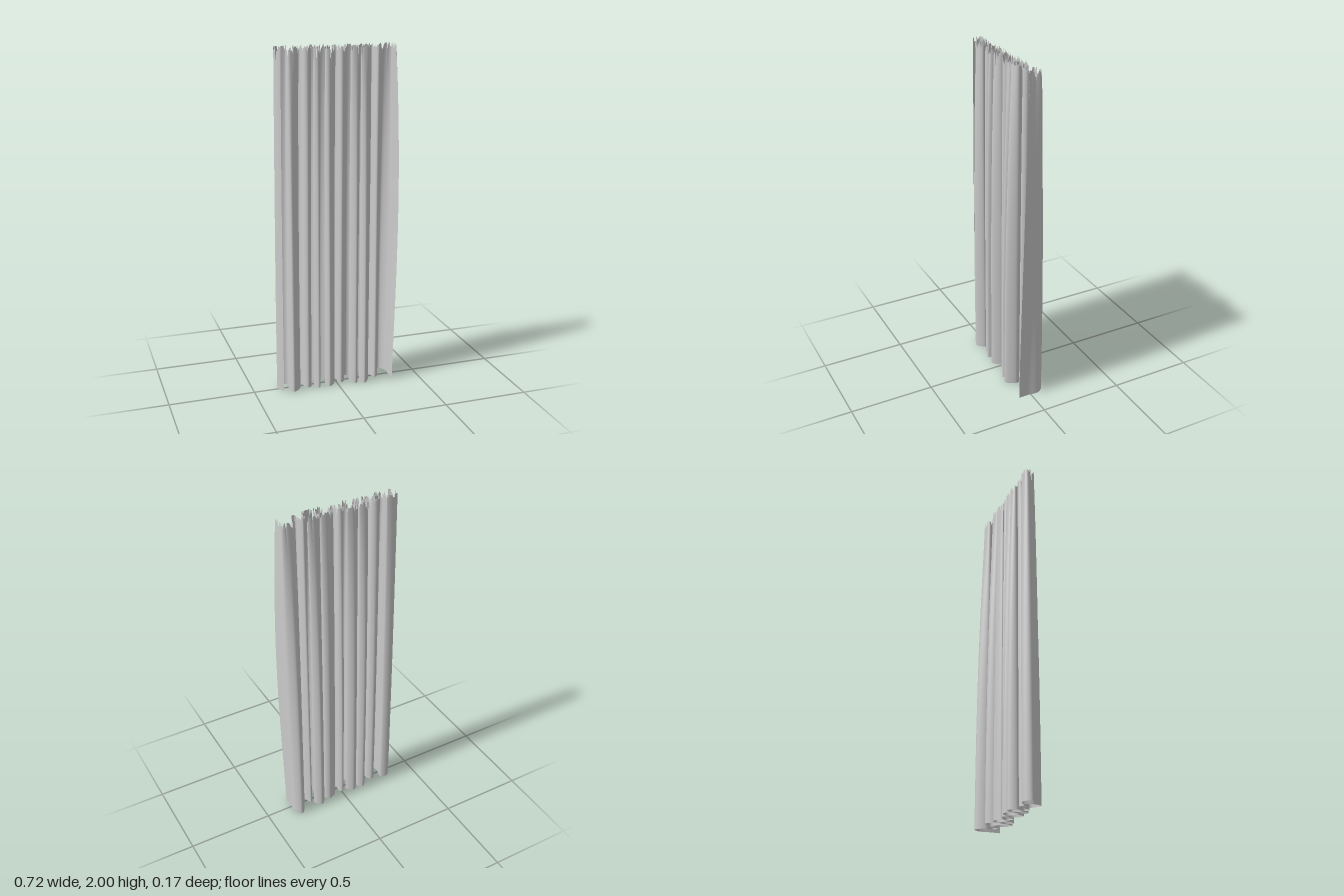
import * as THREE from 'three';

// Hem line of the cloth seen from above: x, z pairs from right to left fold
const HEM = [
  -0.33, 0.04, -0.345, 0.015, -0.357, -0.02, -0.325, -0.055, -0.285, -0.04, -0.295, 0.02,
  -0.275, 0.067, -0.225, 0.02, -0.248, -0.018, -0.225, -0.036, -0.203, -0.015, -0.197, 0.022,
  -0.178, 0.04, -0.155, 0.02, -0.172, -0.025, -0.143, -0.066, -0.112, -0.035, -0.14, 0.025,
  -0.118, 0.06, -0.102, 0.02, -0.108, -0.03, -0.077, -0.065, -0.037, -0.03, -0.072, 0.025,
  -0.053, 0.064, -0.01, 0.012, -0.023, -0.022, -0.005, -0.042, 0.012, -0.02, 0.01, 0.015,
  0.027, 0.035, 0.055, 0.005, 0.04, -0.025, 0.09, -0.055, 0.118, -0.03, 0.077, 0.025,
  0.107, 0.071, 0.13, 0.03, 0.122, -0.03, 0.16, -0.076, 0.196, -0.035, 0.137, 0.04,
  0.16, 0.083, 0.198, 0.03, 0.198, -0.01, 0.213, -0.027, 0.229, 0, 0.235, 0.02,
  0.245, 0.029, 0.265, 0.01, 0.265, -0.035, 0.305, -0.085, 0.337, -0.05, 0.335, 0.015,
  0.335, 0.077,
];
const COLUMNS = 640, ROWS = 40, HEIGHT = 2;

function seededRandom(seed) {
  return () => {
    seed = (seed * 16807) % 2147483647;
    return seed / 2147483647;
  };
}

function curtainGeometry() {
  const points = [];
  for (let i = 0; i < HEM.length; i += 2) points.push(new THREE.Vector3(HEM[i], 0, HEM[i + 1]));
  const hem = new THREE.CatmullRomCurve3(points);
  hem.arcLengthDivisions = 1500;
  const path = hem.getSpacedPoints(COLUMNS);

  // Frayed top edge: many small teeth and a few deep tears
  const random = seededRandom(77);
  const fray = [];
  let drop = 0;
  for (let i = 0; i <= COLUMNS; i++) {
    if (i % 2 === 0) drop = 0.045 * Math.pow(random(), 1.6) + (random() > 0.96 ? 0.05 * random() : 0);
    fray.push(i % 2 === 0 ? drop : drop * 0.6);
  }

  const geometry = new THREE.PlaneGeometry(1, 1, COLUMNS, ROWS);
  const position = geometry.attributes.position;
  for (let r = 0; r <= ROWS; r++) {
    const t = 1 - r / ROWS;
    // Deep folds are gathered towards the top, shallow ones hang straight
    const gather = Math.pow(t, 2.4);
    for (let c = 0; c <= COLUMNS; c++) {
      const u = c / COLUMNS;
      const p = path[c];
      const gathered = 0.04 * Math.tanh(p.z / 0.04);
      const z = THREE.MathUtils.lerp(p.z, gathered, gather);
      // The free right-hand edge bellies outwards, the other edge leans in
      const edge = THREE.MathUtils.smoothstep(u, 0.93, 1);
      const belly = edge * (0.021 * Math.sin(Math.PI * Math.pow(t, 1.2)) + 0.009 * t);
      const lean = 0.013 * gather * (1 - u);
      const sway = 0.004 * t * (1 - edge) * Math.sin(u * 40) * Math.sin(t * 3);
      const y = HEIGHT * t - fray[c] * THREE.MathUtils.smoothstep(t, 0.9, 1);
      position.setXYZ(r * (COLUMNS + 1) + c, p.x + belly + lean + sway, y, z);
    }
  }
  geometry.computeVertexNormals();
  return geometry;
}

export function createModel() {
  const group = new THREE.Group();
  group.name = 'curtain';
  const material = new THREE.MeshStandardMaterial({ color: 0xcccccc, side: THREE.DoubleSide });
  const cloth = new THREE.Mesh(curtainGeometry(), material);
  cloth.name = 'pleatedCloth';
  group.add(cloth);
  return group;
}
